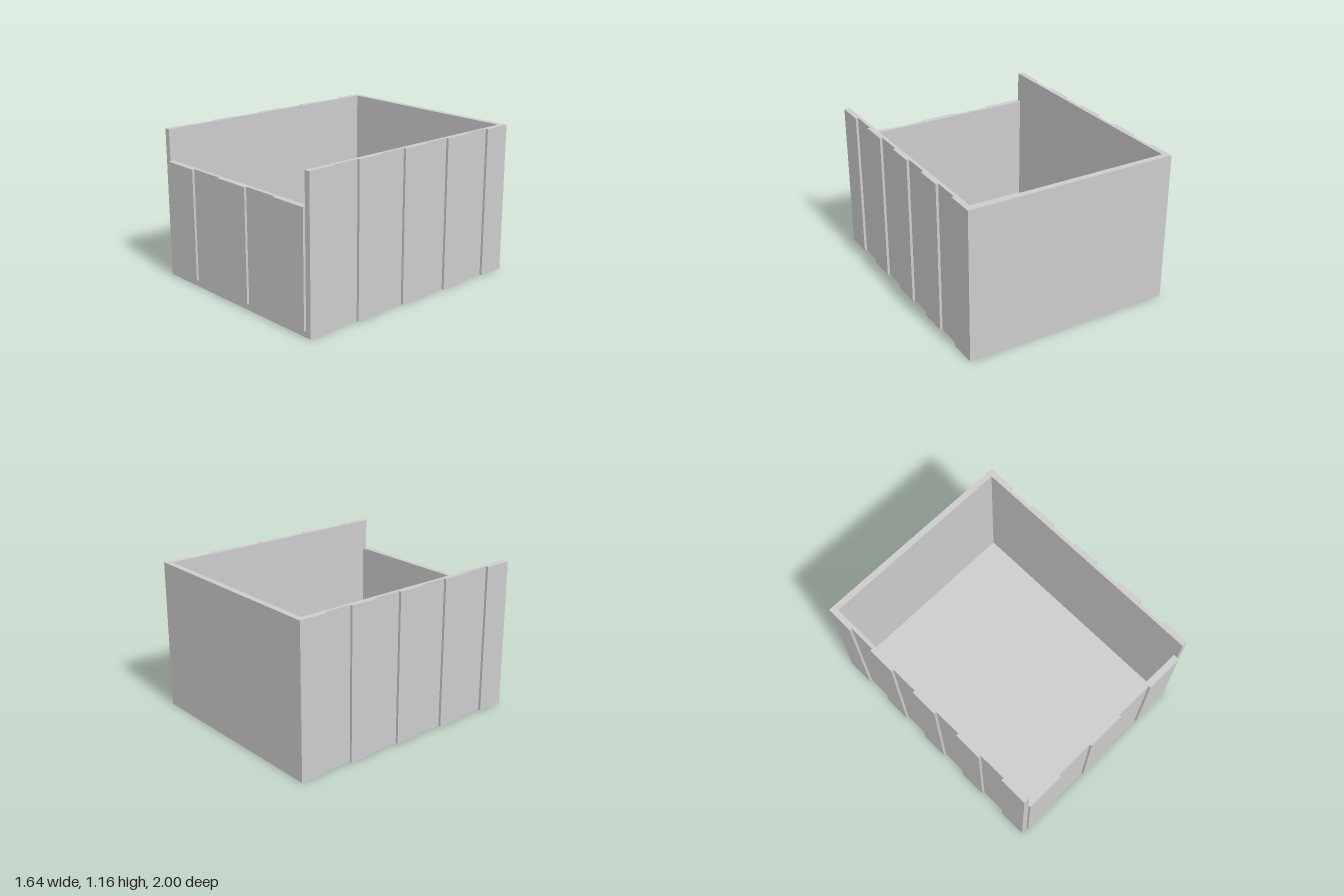
import * as THREE from 'three';

export function createModel() {
  const model = new THREE.Group();
  const material = new THREE.MeshStandardMaterial({ color: 0xcccccc, flatShading: true });

  // Box given by its lower and upper corners
  function box(name, [x0, y0, z0], [x1, y1, z1]) {
    const mesh = new THREE.Mesh(new THREE.BoxGeometry(x1 - x0, y1 - y0, z1 - z0), material);
    mesh.position.set((x0 + x1) / 2, (y0 + y1) / 2, (z0 + z1) / 2);
    mesh.name = name;
    model.add(mesh);
  }

  const height = 1.165, frontHeight = 0.92, floorTop = 0.045;
  const inner = 0.775, outer = 0.802, ribOuter = 0.822;
  const back = -1, front = 0.982;

  // Open-topped bin with a lowered front
  box('floor', [-inner, 0, -0.953], [inner, floorTop, 0.95]);
  box('backWall', [-inner, 0, back], [inner, height, -0.953]);
  box('frontWall', [-inner, 0, 0.95], [inner, frontHeight, front]);
  box('leftWall', [inner, 0, back], [outer, height, front]);
  box('rightWall', [-outer, 0, back], [-inner, height, front]);

  // Raised vertical ribs on both sides, alternating with equal gaps
  const pitch = (front - back) / 9;
  for (let i = 0; i < 9; i += 2) {
    const z = back + i * pitch;
    box('leftRib', [outer, 0, z], [ribOuter, height, z + pitch]);
    box('rightRib', [-ribOuter, 0, z], [-outer, height, z + pitch]);
  }

  // Three raised panels on the front
  const panel = (2 * inner) / 5;
  for (let i = 0; i < 5; i += 2) {
    const x = -inner + i * panel;
    box('frontPanel', [x, 0.05, front], [x + panel, frontHeight, 1]);
  }
  return model;
}
